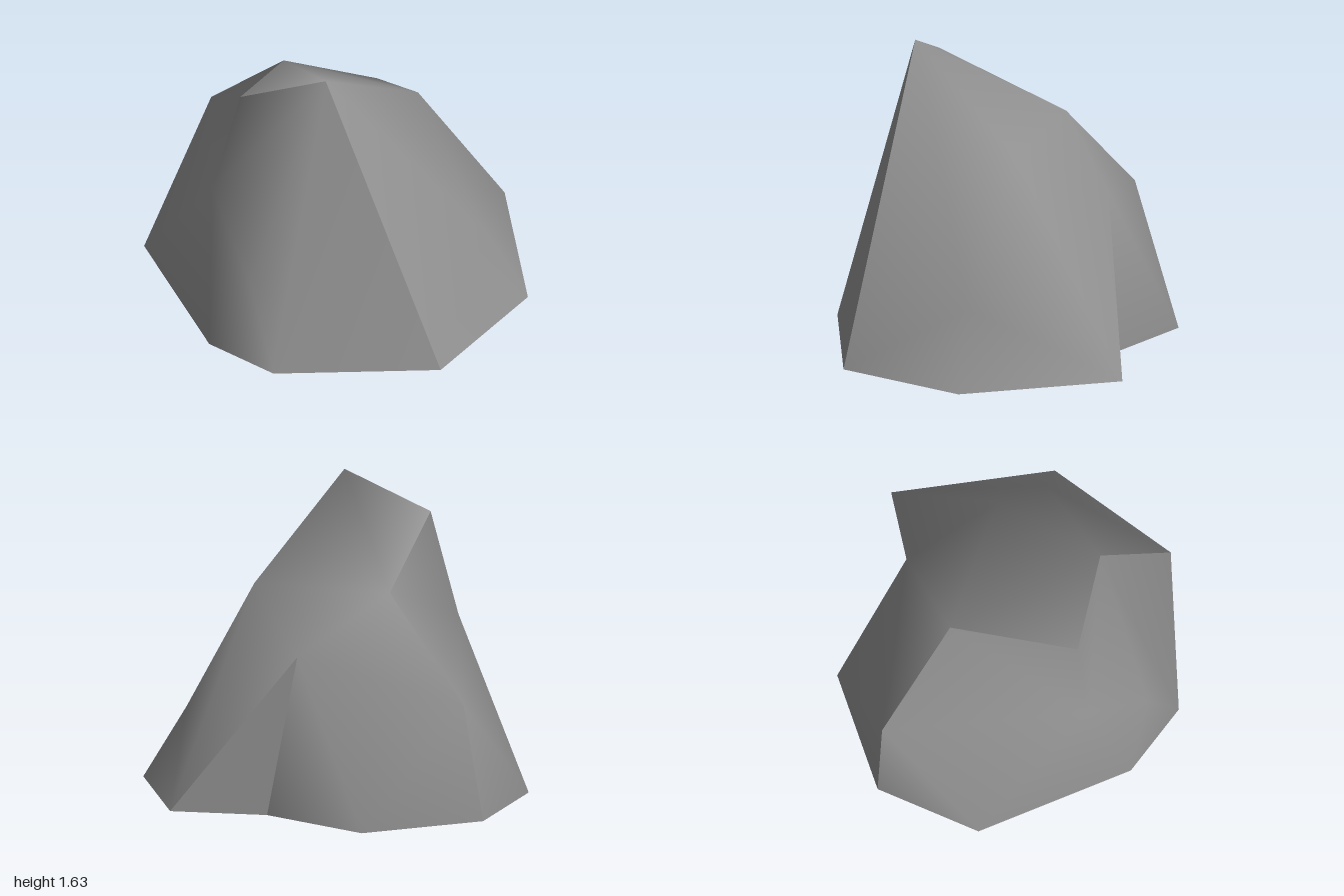
import * as THREE from 'three';

// Corner points of the boulder
const points = {
  // upper corners
  peak: [0.2, 1.63, 0.46], crest: [-0.25, 1.43, 0.58], back: [0.35, 1.15, -0.24],
  shoulder: [-0.39, 1.16, -0.11], ledge: [-0.9, 0.64, -0.23], notch: [-0.08, 0.87, -0.55],
  hollow: [-0.35, 0.86, 0.7], belly: [-0.02, 0.48, 0.87], flank: [0.78, 0.42, -0.2],
  // footprint corners, in order around the base
  b0: [0.09, 0, -0.57], b1: [0.46, 0.06, -0.95], b2: [1, 0.03, -0.27],
  b3: [0.91, 0.01, 0.48], b4: [0.17, 0.01, 0.95], b5: [-0.25, 0.01, 0.9],
  b6: [-0.95, 0.04, 0.38], b7: [-1, 0.02, -0.2], b8: [-0.55, 0.01, -0.7],
};

// The boulder is an open shell, so its inside shows from below
const stone = new THREE.MeshStandardMaterial({ color: 0x919191, side: THREE.DoubleSide });
stone.name = 'grey stone';

const core = new THREE.Vector3(0, 0.45, 0);

// One smooth patch; corners are shared inside it, so its borders stay sharp
function patch(name, triangles) {
  const names = [...new Set(triangles.flat())];
  const at = (n) => new THREE.Vector3(...points[n]);
  const index = [];
  for (const [a, b, c] of triangles) {
    const normal = at(b).sub(at(a)).cross(at(c).sub(at(a)));
    const outward = normal.dot(at(a).sub(core)) > 0;
    index.push(...(outward ? [a, b, c] : [a, c, b]).map((n) => names.indexOf(n)));
  }
  const geometry = new THREE.BufferGeometry();
  geometry.setAttribute('position',
    new THREE.Float32BufferAttribute(names.flatMap((n) => points[n]), 3));
  geometry.setIndex(index);
  geometry.computeVertexNormals();
  const mesh = new THREE.Mesh(geometry, stone);
  mesh.name = name;
  return mesh;
}

// Fan of triangles from a hub through a chain of corners
const fan = (hub, ...rim) => rim.slice(1).map((n, i) => [hub, rim[i], n]);

export function createModel() {
  const boulder = new THREE.Group();
  boulder.name = 'boulder';
  boulder.add(
    // bulging front, running smoothly into the hollow on the side
    patch('frontAndSideHollow', [
      ...fan('peak', 'b3', 'b4', 'belly', 'hollow', 'crest'),
      ...fan('belly', 'b4', 'b5', 'hollow'),
      ...fan('hollow', 'crest', 'shoulder', 'ledge', 'b6', 'b5'),
      ['ledge', 'b7', 'b6'],
    ]),
    // top, side and back wrap in one rounded surface
    patch('roundedShell', [
      ...fan('flank', 'peak', 'b3', 'b2', 'b1', 'back', 'peak'),
      ...fan('peak', 'back', 'shoulder', 'crest'),
      ...fan('notch', 'b1', 'back', 'shoulder', 'ledge', 'b8', 'b0'),
      ['ledge', 'b7', 'b8'],
    ]),
    // split in the back
    patch('backNotch', [['notch', 'b0', 'b1']]),
  );
  return boulder;
}
